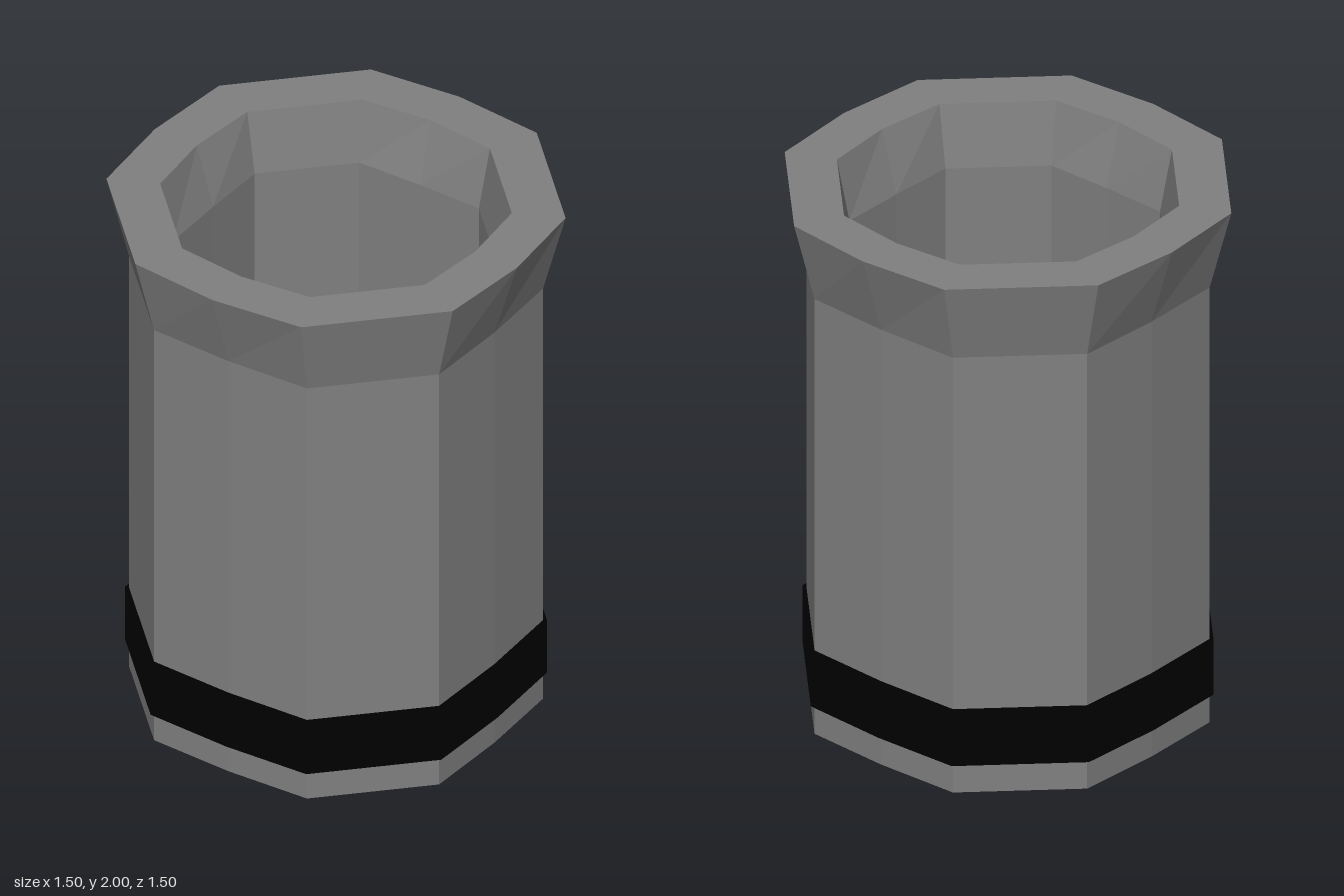
import * as THREE from 'three';

// Twelve-point ring: an octagon whose diagonal sides have a slightly raised middle.
function ring(half, corner, mid, y) {
  const points = [];
  for (let q = 0; q < 4; q++) {
    for (let [x, z] of [[half, -corner], [half, corner], [mid, mid]]) {
      for (let k = 0; k < q; k++) [x, z] = [-z, x];
      points.push([x, y, z]);
    }
  }
  return points;
}

// Joins consecutive rings with flat faces.
function loft(name, rings, color) {
  const position = [];
  for (let r = 0; r < rings.length - 1; r++) {
    const low = rings[r], up = rings[r + 1];
    for (let i = 0; i < low.length; i++) {
      const j = (i + 1) % low.length;
      position.push(...low[i], ...up[i], ...low[j], ...low[j], ...up[i], ...up[j]);
    }
  }
  const geometry = new THREE.BufferGeometry();
  geometry.setAttribute('position', new THREE.Float32BufferAttribute(position, 3));
  geometry.computeVertexNormals();
  const mesh = new THREE.Mesh(geometry, new THREE.MeshStandardMaterial({ color, flatShading: true }));
  mesh.name = name;
  return mesh;
}

export function createModel() {
  const group = new THREE.Group();
  group.name = 'container';

  // Base, outer wall, flared lip and hollow inside
  group.add(loft('body', [
    ring(0, 0, 0, 0),
    ring(0.677, 0.23, 0.463, 0),
    ring(0.677, 0.23, 0.463, 1.695),
    ring(0.749, 0.264, 0.53, 2),
    ring(0.574, 0.2, 0.407, 2),
    ring(0.532, 0.182, 0.36, 1.77),
    ring(0.532, 0.182, 0.36, 0.3),
  ], 0x808080));

  // Black band around the foot; its top also forms the inner floor
  group.add(loft('band', [
    ring(0, 0, 0, 0.11),
    ring(0.69, 0.235, 0.473, 0.11),
    ring(0.69, 0.235, 0.473, 0.325),
    ring(0, 0, 0, 0.325),
  ], 0x000000));

  return group;
}
